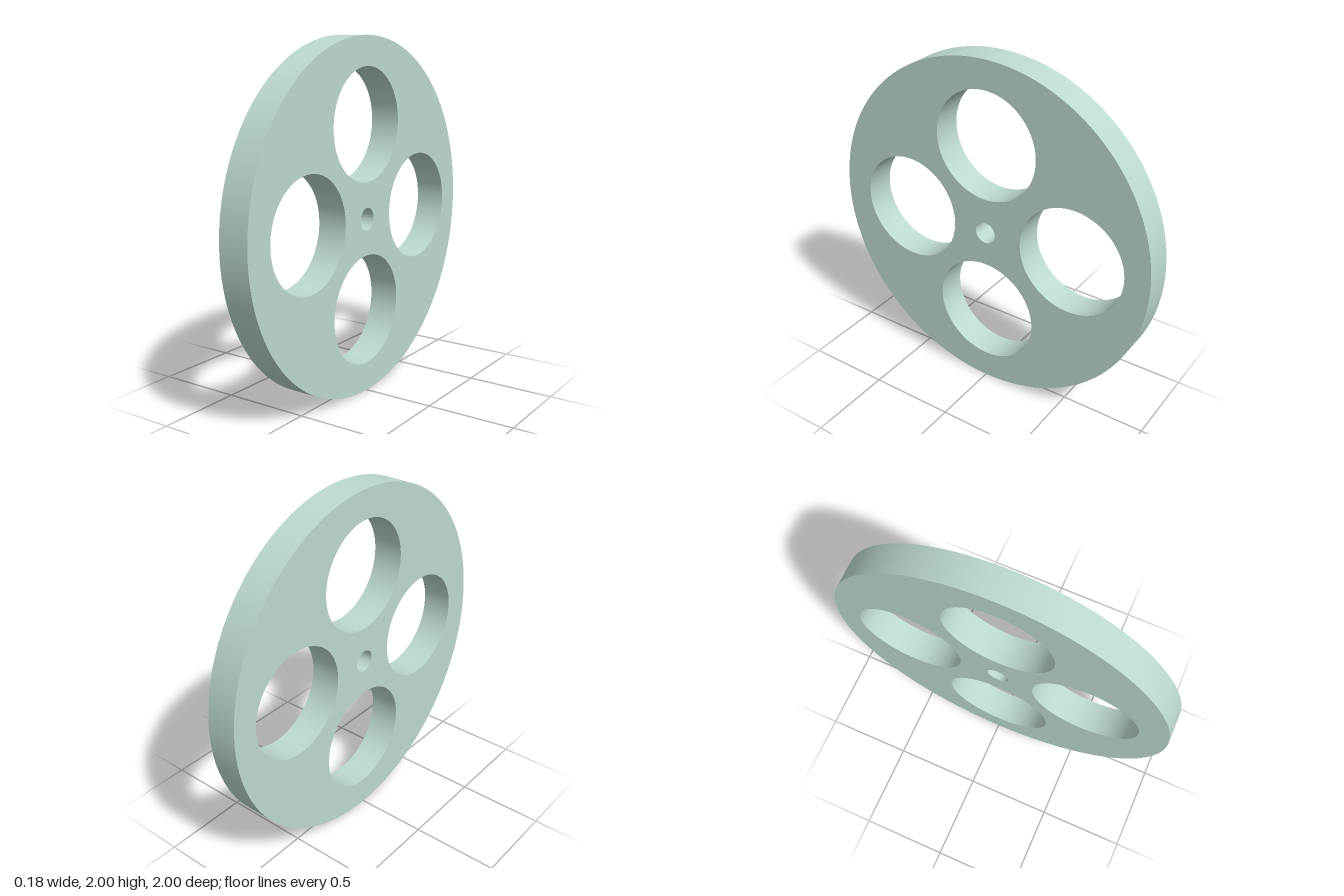
import * as THREE from 'three';
import { toCreasedNormals } from 'three/addons/utils/BufferGeometryUtils.js';

const THICKNESS = 0.176;

// full circle as a path, in the plane of the disc (u = -z, v = height above the axle)
function circle(PathType, u, v, radius) {
  const path = new PathType();
  path.absarc(u, v, radius, 0, Math.PI * 2, false);
  return path;
}

export function createModel() {
  const group = new THREE.Group();
  group.name = 'wheel';

  // round disc with an axle hole and four large lightening holes
  const outline = circle(THREE.Shape, 0, 0, 1);
  const holes = [
    [0, 0, 0.064],
    [0, 0.522, 0.314],
    [0, -0.519, 0.314],
    [-0.521, 0, 0.314],
    [0.541, 0, 0.314],
  ];
  for (const [u, v, r] of holes) outline.holes.push(circle(THREE.Path, u, v, r));

  const extruded = new THREE.ExtrudeGeometry(outline, {
    depth: THICKNESS,
    bevelEnabled: false,
    curveSegments: 96,
  });
  extruded.translate(0, 0, -THICKNESS / 2);
  extruded.rotateY(Math.PI / 2); // axle along x
  extruded.translate(0, 1, 0);

  // smooth rim and hole walls, sharp edges at the faces
  const geometry = toCreasedNormals(extruded, Math.PI / 6);
  const disc = new THREE.Mesh(geometry, new THREE.MeshStandardMaterial({ color: 0xbddacf }));
  disc.name = 'wheelDisc';
  group.add(disc);

  return group;
}
